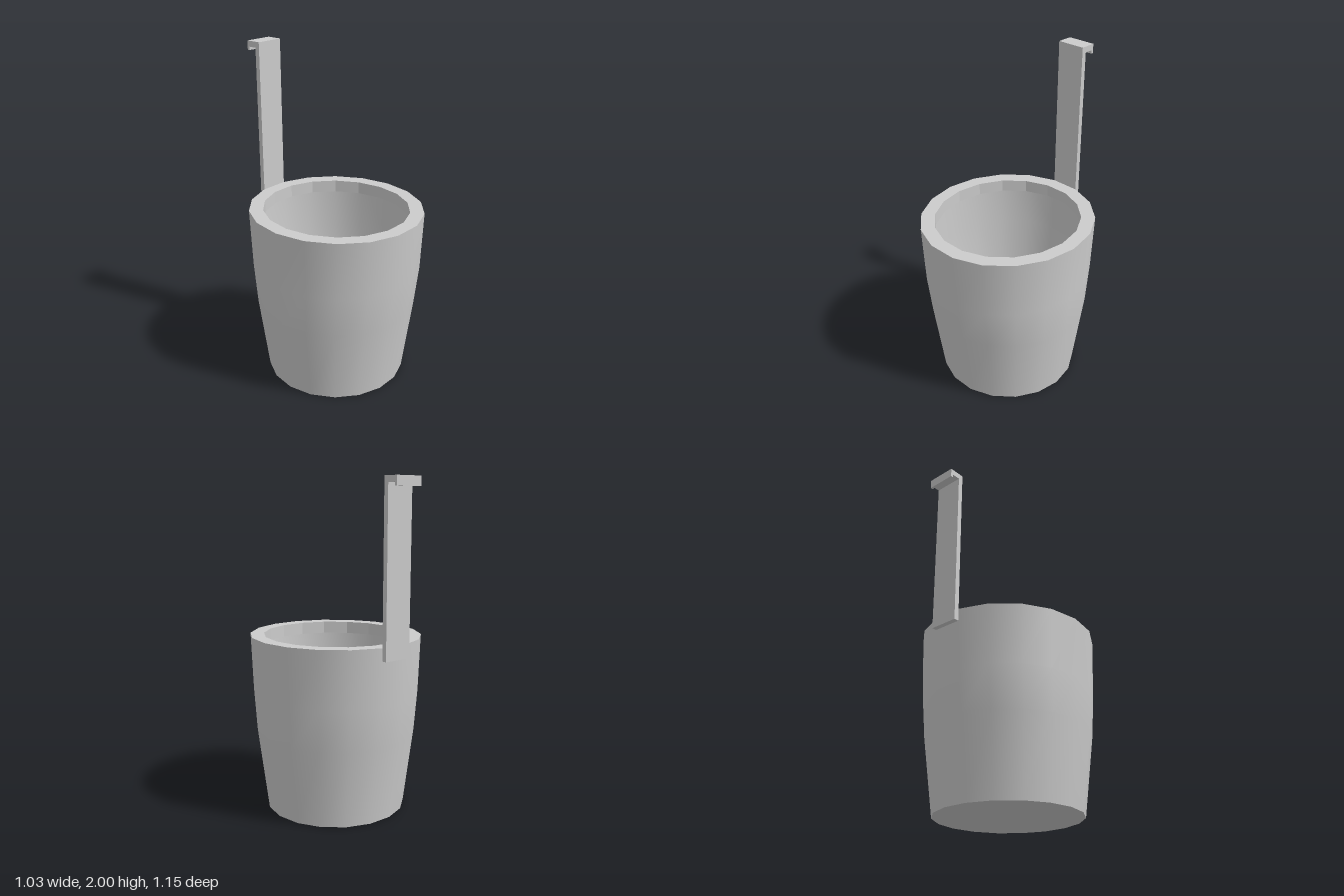
import * as THREE from 'three';

const SIDES = 18;
const CENTER_Z = 0.0475;

// Skin elliptical rings [y, radiusX, radiusZ]; a zero radius closes the end.
function loft(rings) {
  const positions = [], index = [];
  for (const [y, rx, rz] of rings) {
    for (let i = 0; i < SIDES; i++) {
      const a = (i / SIDES) * Math.PI * 2;
      positions.push(rx * Math.cos(a), y, rz * Math.sin(a));
    }
  }
  for (let r = 0; r < rings.length - 1; r++) {
    for (let i = 0; i < SIDES; i++) {
      const j = (i + 1) % SIDES;
      const a = r * SIDES + i, b = r * SIDES + j;
      const c = a + SIDES, d = b + SIDES;
      index.push(a, c, b, b, c, d);
    }
  }
  const geometry = new THREE.BufferGeometry();
  geometry.setAttribute('position', new THREE.Float32BufferAttribute(positions, 3));
  geometry.setIndex(index);
  geometry.computeVertexNormals();
  return geometry;
}

export function createModel() {
  const model = new THREE.Group();
  model.name = 'hangingBucket';
  const smooth = new THREE.MeshStandardMaterial({ color: 0xcccccc, side: THREE.DoubleSide });
  const flat = new THREE.MeshStandardMaterial({ color: 0xcccccc, side: THREE.DoubleSide, flatShading: true });

  const add = (name, geometry, material, parent) => {
    const mesh = new THREE.Mesh(geometry, material);
    mesh.name = name;
    parent.add(mesh);
  };

  // Tapered bucket, slightly longer front to back at the top
  const bucket = new THREE.Group();
  bucket.name = 'bucket';
  bucket.position.z = CENTER_Z;
  model.add(bucket);
  add('wall', loft([
    [0, 0.43, 0.4315],
    [0.47, 0.49, 0.491],
    [0.72, 0.499, 0.523],
    [1.075, 0.513, 0.536],
  ]), smooth, bucket);
  add('bottom', loft([[0, 0, 0], [0, 0.43, 0.4315]]), flat, bucket);

  // Flat rim with a short lip turned down inside
  add('rim', loft([[1.075, 0.513, 0.536], [1.075, 0.43, 0.451]]), flat, bucket);
  add('innerLip', loft([[1.075, 0.43, 0.451], [1.0, 0.43, 0.451]]), flat, bucket);

  // Upright strap with a hook at the top; profile as [distance behind, height]
  const profile = [
    [0.48, 1.0], [0.51, 1.0], [0.51, 1.965], [0.562, 1.965],
    [0.562, 1.945], [0.577, 1.945], [0.577, 2.0], [0.48, 2.0],
  ];
  const shape = new THREE.Shape(profile.map(([u, v]) => new THREE.Vector2(u, v)));
  const strap = new THREE.ExtrudeGeometry(shape, { depth: 0.176, bevelEnabled: false });
  strap.translate(0, 0, -0.088);
  strap.rotateY(Math.PI / 2);
  add('hookStrap', strap, flat, model);

  return model;
}
